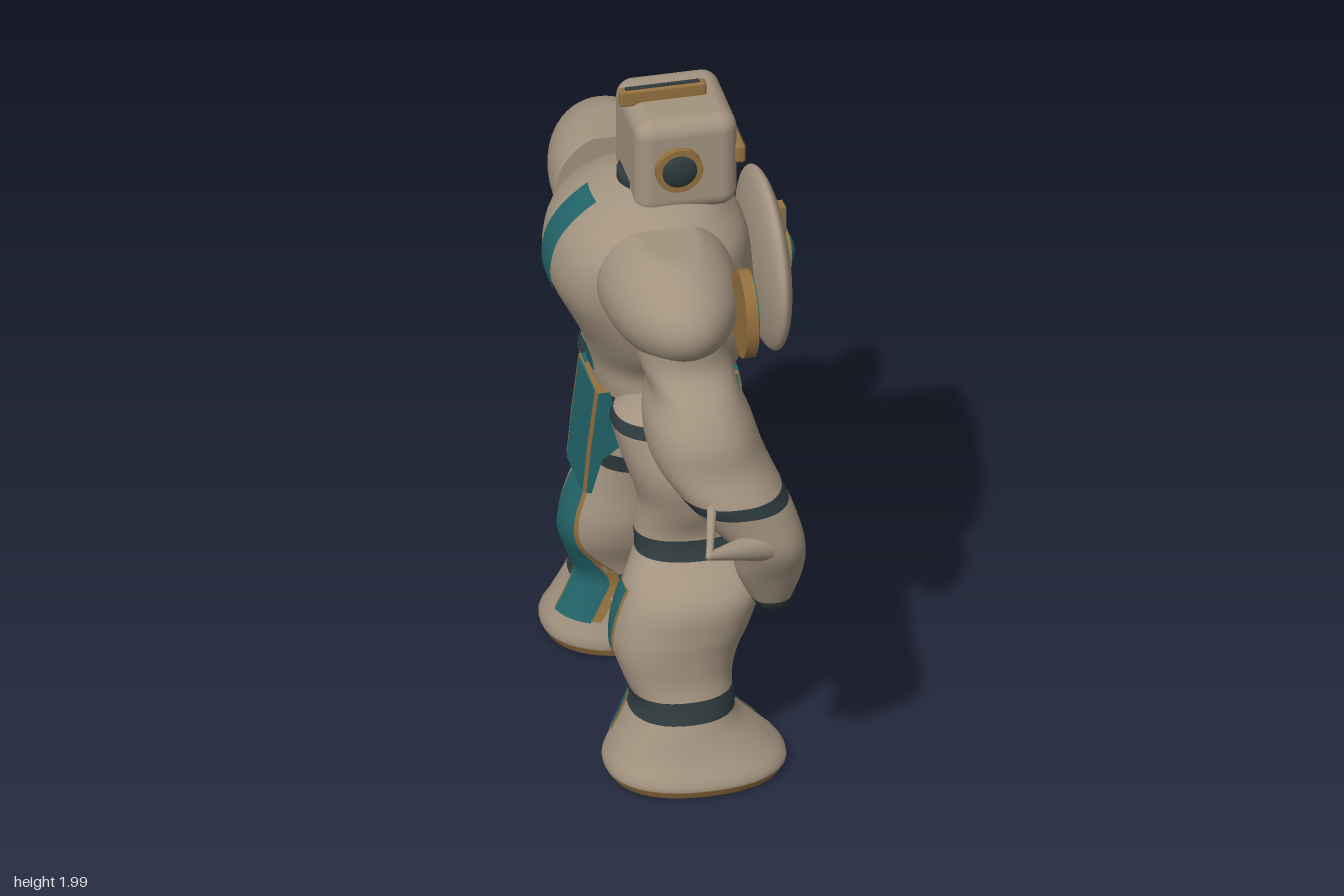
import * as THREE from 'three';
import { RoundedBoxGeometry } from 'three/addons/geometries/RoundedBoxGeometry.js';

const mat = (name, color) => Object.assign(new THREE.MeshStandardMaterial({ color }), { name });
const N = 2.3; // roundness of every cross-section
const SEG = 40;

// Cross-sections, bottom to top: [y, centre x, centre z, radius x, radius z]
const TORSO = [
  [0.70, 0.09, 0, 0.03, 0.015], [0.78, 0.05, 0, 0.11, 0.09], [0.90, 0, 0, 0.165, 0.16],
  [1.00, -0.02, 0, 0.185, 0.2], [1.10, -0.03, 0, 0.2, 0.21], [1.16, -0.02, 0, 0.22, 0.215],
  [1.25, -0.02, 0, 0.25, 0.275], [1.33, -0.04, 0, 0.27, 0.3], [1.42, -0.065, 0, 0.288, 0.31],
  [1.50, -0.07, 0, 0.285, 0.32], [1.58, -0.065, 0, 0.26, 0.31], [1.65, -0.06, 0, 0.2, 0.24],
  [1.69, -0.05, 0, 0.15, 0.17], [1.71, -0.05, 0, 0.1, 0.1],
];
const LEG = [
  [0.01, -0.025, 0.395, 0.245, 0.195], [0.04, -0.025, 0.395, 0.26, 0.205], [0.10, -0.04, 0.385, 0.22, 0.18],
  [0.18, -0.06, 0.375, 0.16, 0.155], [0.24, -0.055, 0.365, 0.145, 0.14], [0.30, -0.065, 0.35, 0.155, 0.135],
  [0.38, -0.065, 0.33, 0.18, 0.15], [0.45, -0.045, 0.32, 0.195, 0.16], [0.56, -0.01, 0.305, 0.195, 0.155],
  [0.65, 0.01, 0.245, 0.17, 0.115], [0.70, 0.005, 0.23, 0.165, 0.11], [0.80, 0.01, 0.235, 0.16, 0.135],
  [0.90, -0.01, 0.225, 0.17, 0.16], [1.00, -0.02, 0.21, 0.19, 0.15], [1.06, -0.03, 0.2, 0.185, 0.135],
  [1.10, -0.03, 0.2, 0.14, 0.1], [1.12, -0.03, 0.2, 0.08, 0.05],
];
const ARM = [
  [0.655, 0.14, 0.645, 0.02, 0.03], [0.67, 0.14, 0.645, 0.045, 0.06], [0.70, 0.135, 0.65, 0.06, 0.07],
  [0.80, 0.125, 0.68, 0.095, 0.085], [0.90, 0.115, 0.7, 0.105, 0.11], [1.00, 0.06, 0.68, 0.135, 0.13],
  [1.06, 0.02, 0.64, 0.15, 0.165], [1.15, -0.03, 0.58, 0.16, 0.185], [1.25, -0.05, 0.54, 0.15, 0.2],
  [1.33, -0.055, 0.5, 0.125, 0.185], [1.40, -0.07, 0.45, 0.13, 0.16], [1.50, -0.075, 0.44, 0.12, 0.15],
  [1.58, -0.07, 0.42, 0.1, 0.12],
];

// Smooth lookup of the section at any height, for side s
function sampler(table, s) {
  const cubic = new THREE.CubicInterpolant(table.map(r => r[0]), table.flatMap(r => r.slice(1)), 4);
  return y => {
    const [cx, cz, rx, rz] = cubic.evaluate(y);
    return { cx, cz: cz * s, rx, rz };
  };
}

function makeGeometry(pos, idx) {
  const g = new THREE.BufferGeometry();
  g.setAttribute('position', new THREE.Float32BufferAttribute(pos, 3));
  g.setIndex(idx);
  return g;
}

// Closed loft; bands are [y0, y1, material index], the rest is material 0
function loft(table, s, bands) {
  const at = sampler(table, s), y0 = table[0][0], y1 = table.at(-1)[0];
  const ys = new Set(bands.flatMap(b => [b[0], b[1]]).filter(y => y >= y0 && y <= y1));
  for (let i = 0; i <= 60; i++) ys.add(y0 + (y1 - y0) * i / 60);
  const rows = [...ys].sort((a, b) => a - b);
  const pos = [], idx = [], groups = [];
  const ring = y => {
    const { cx, cz, rx, rz } = at(y);
    for (let i = 0; i < SEG; i++) {
      const a = i / SEG * Math.PI * 2, c = Math.cos(a), d = Math.sin(a);
      pos.push(cx + rx * Math.sign(c) * Math.abs(c) ** (2 / N), y, cz + rz * Math.sign(d) * Math.abs(d) ** (2 / N));
    }
  };
  const colourAt = y => (bands.find(b => y >= b[0] && y <= b[1]) ?? [0, 0, 0])[2];
  rows.forEach(ring);
  for (let r = 0; r < rows.length - 1; r++) {
    groups.push([idx.length, SEG * 6, colourAt((rows[r] + rows[r + 1]) / 2)]);
    for (let i = 0; i < SEG; i++) {
      const a = r * SEG + i, b = r * SEG + (i + 1) % SEG;
      idx.push(a, a + SEG, b, b, a + SEG, b + SEG);
    }
  }
  for (const [y, top] of [[y0, false], [y1, true]]) {
    const base = pos.length / 3, { cx, cz } = at(y);
    ring(y);
    pos.push(cx, y, cz);
    groups.push([idx.length, SEG * 3, colourAt(y)]);
    for (let i = 0; i < SEG; i++) {
      const a = base + i, b = base + (i + 1) % SEG;
      idx.push(base + SEG, top ? b : a, top ? a : b);
    }
  }
  const g = makeGeometry(pos, idx);
  groups.forEach(q => g.addGroup(...q));
  g.computeVertexNormals();
  return g;
}

// Thin sheet following the front (+1) or back (-1) of a loft
function panel(table, s, facing, zMin, zMax, yMin, yMax, lift) {
  const at = sampler(table, s), pos = [], idx = [], W = 10, H = 32;
  for (let j = 0; j <= H; j++) for (let i = 0; i <= W; i++) {
    const y = yMin + (yMax - yMin) * j / H, z = zMin + (zMax - zMin) * i / W;
    const { cx, cz, rx, rz } = at(y);
    const k = Math.min(0.98, Math.abs((z - cz) / rz));
    pos.push(cx + facing * (rx * (1 - k ** N) ** (1 / N) + lift), y, z);
    if (i < W && j < H) {
      const a = j * (W + 1) + i, b = a + 1, c = a + W + 1, d = c + 1;
      idx.push(...(facing > 0 ? [a, c, b, b, c, d] : [a, b, c, b, d, c]));
    }
  }
  const g = makeGeometry(pos, idx);
  g.computeVertexNormals();
  return g;
}

// Side profile in x and y, widened along z
function flap(points, width) {
  const shape = new THREE.Shape(points.map(p => new THREE.Vector2(...p)));
  return new THREE.ExtrudeGeometry(shape, { depth: width, bevelEnabled: false }).translate(0, 0, -width / 2);
}

// Rounded shoulder, cut flat on top and on the side next to the neck
function shoulderGeometry(s) {
  const g = new THREE.SphereGeometry(1, 56, 40).scale(0.195, 0.175, 0.355);
  const p = g.attributes.position;
  for (let i = 0; i < p.count; i++) {
    p.setY(i, Math.min(p.getY(i), 0.155));
    p.setZ(i, s * Math.max(s * p.getZ(i), -0.02));
  }
  g.computeVertexNormals();
  return g;
}

export function createModel() {
  const model = new THREE.Group();
  const tan = mat('armourTan', 0xa39380), gold = mat('trimGold', 0x94703f);
  const teal = mat('panelTeal', 0x22656a), dark = mat('jointDark', 0x2d3a3d);
  const palette = [tan, dark, gold];
  const add = (name, geo, m, x = 0, y = 0, z = 0) => {
    const mesh = new THREE.Mesh(geo, m);
    mesh.name = name;
    mesh.position.set(x, y, z);
    model.add(mesh);
    return mesh;
  };
  const disc = (r, t) => new THREE.CylinderGeometry(r, r, t, 48);
  const ball = (x, y, z) => new THREE.SphereGeometry(1, 48, 32).scale(x, y, z);

  // Torso, back stripe and hip flaps
  add('torso', loft(TORSO, 1, [[1.035, 1.07, 1]]), palette);
  add('backStripe', panel(TORSO, 1, -1, -0.055, 0.055, 1.12, 1.675, 0.005), teal);
  const front = [[0.12, 1.09], [0.165, 1.09], [0.174, 1.04], [0.17, 0.78], [0.13, 0.78]];
  const back = [[-0.18, 1.08], [-0.235, 1.08], [-0.257, 0.9], [-0.27, 0.76], [-0.255, 0.755], [-0.225, 0.86], [-0.17, 0.9]];
  for (const [name, pts, out] of [['frontFlap', front, 0.005], ['backFlap', back, -0.005]]) {
    add(name, flap(pts, 0.228), teal);
    add(name + 'Trim', flap(pts, 0.226), gold, out);
    add(name + 'Face', flap(pts, 0.178), teal, out * 2);
  }

  // Chest shield with its emblem
  add('chestShield', ball(0.052, 0.257, 0.285), tan, 0.266, 1.393);
  add('emblemBarTrim', new THREE.BoxGeometry(0.02, 0.34, 0.045), gold, 0.316, 1.39);
  add('emblemBar', new THREE.BoxGeometry(0.02, 0.325, 0.03), teal, 0.32, 1.39);
  add('emblemRing', disc(0.064, 0.035).rotateZ(Math.PI / 2), gold, 0.317, 1.413);
  add('emblemGem', ball(0.024, 0.046, 0.046), teal, 0.331, 1.413);

  // Head
  add('neck', disc(0.105, 0.12), dark, -0.05, 1.67);
  add('head', new RoundedBoxGeometry(0.295, 0.3, 0.31, 6, 0.05), tan, 0.015, 1.81);
  add('visorFrame', new RoundedBoxGeometry(0.03, 0.058, 0.29, 3, 0.01), gold, 0.168, 1.828);
  add('visor', new THREE.BoxGeometry(0.01, 0.04, 0.26), dark, 0.181, 1.828);
  add('visorSlit', new THREE.BoxGeometry(0.006, 0.016, 0.225), teal, 0.185, 1.828);
  add('crest', new RoundedBoxGeometry(0.25, 0.05, 0.032, 3, 0.008), gold, -0.025, 1.973);
  add('crestInlay', new THREE.BoxGeometry(0.215, 0.008, 0.015), dark, -0.025, 1.997);
  for (const s of [1, -1]) {
    add('earRing', disc(0.068, 0.03).rotateX(Math.PI / 2), gold, -0.015, 1.815, s * 0.16);
    add('ear', ball(0.053, 0.053, 0.022), dark, -0.015, 1.815, s * 0.168);
  }

  for (const s of [1, -1]) {
    // Leg with painted bands and sole
    add('leg', loft(LEG, s, [[0.01, 0.033, 2], [0.205, 0.265, 1], [0.645, 0.7, 1], [1.035, 1.07, 1]]), palette);
    for (const facing of [1, -1]) {
      const span = (a, b) => s > 0 ? [a, b] : [-b, -a];
      add('shinTrim', panel(LEG, s, facing, ...span(0.224, 0.348), 0.115, 0.565, 0.003), gold);
      add('shinPanel', panel(LEG, s, facing, ...span(0.234, 0.338), 0.11, 0.565, 0.006), teal);
    }

    // Arm, hand and thumb spur
    add('arm', loft(ARM, s, [[0.655, 0.7, 1], [1.035, 1.07, 1]]), palette);
    const v = (x, y, z) => new THREE.Vector3(x, y, z * s);
    const rod = (name, a, b, r0, r1) => {
      const d = b.clone().sub(a);
      const mesh = add(name, new THREE.CylinderGeometry(r1, r0, d.length(), 24), tan, ...a.clone().add(b).multiplyScalar(0.5));
      mesh.quaternion.setFromUnitVectors(new THREE.Vector3(0, 1, 0), d.normalize());
      add(name + 'Tip', ball(r1, r1, r1), tan, ...b);
    };
    rod('thumb', v(0.13, 0.92, 0.75), v(-0.09, 0.975, 0.87), 0.055, 0.012);
    rod('thumbStrand', v(-0.09, 0.975, 0.87), v(-0.06, 1.08, 0.77), 0.01, 0.014);
    rod('finger', v(0.12, 0.97, 0.63), v(0.15, 0.82, 0.585), 0.065, 0.032);

    // Shoulder and its disc
    add('shoulder', shoulderGeometry(s), tan, -0.08, 1.53, s * 0.28);
    add('shoulderDiscTrim', disc(1, 0.035).rotateZ(Math.PI / 2).scale(1, 0.133, 0.105), gold, 0.09, 1.547, s * 0.53);
    add('shoulderDisc', disc(1, 0.008).rotateZ(Math.PI / 2).scale(1, 0.124, 0.096), teal, 0.108, 1.547, s * 0.53);
  }
  return model;
}
